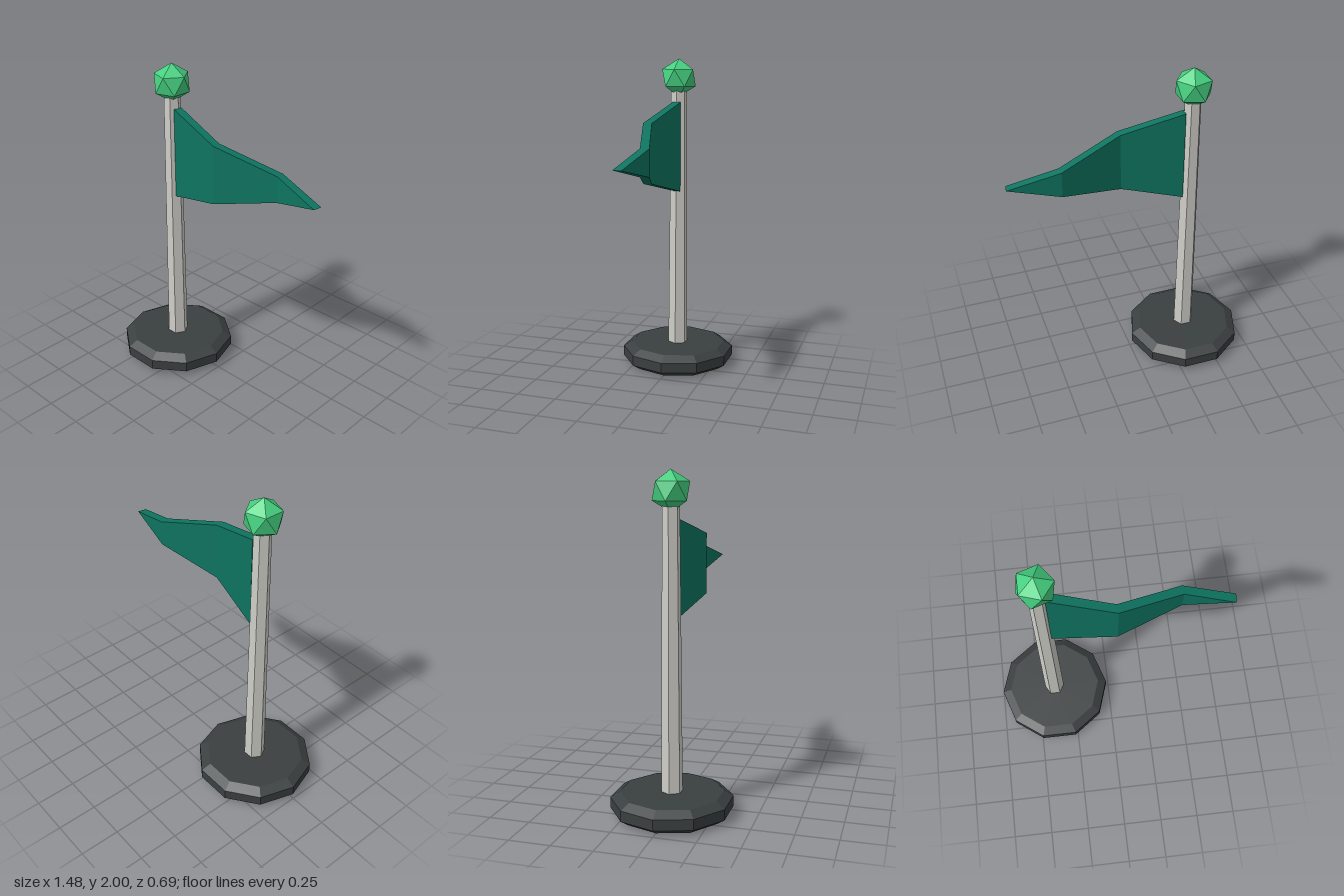
import * as THREE from 'three';

const POLE_X = -0.38;

function material(name, color) {
  const m = new THREE.MeshStandardMaterial({ color });
  m.name = name;
  m.flatShading = true;
  return m;
}

// Wavy tapering pennant: four-cornered sections along a bent centre line
function pennantGeometry() {
  const half = 0.027;
  // x, z, top y, bottom y
  const sections = [
    [-0.335, 0, 1.73, 1.16],
    [0.045, 0.066, 1.622, 1.256],
    [0.43, -0.049, 1.513, 1.353],
    [0.735, 0, 1.427, 1.427],
  ];
  const path = sections.map(([x, z]) => new THREE.Vector2(x, z));
  const rings = sections.map(([x, z, top, bottom], i) => {
    const before = path[Math.max(i - 1, 0)];
    const after = path[Math.min(i + 1, path.length - 1)];
    const dir = after.clone().sub(before).normalize();
    const nx = -dir.y * half, nz = dir.x * half;
    return [
      [x + nx, top, z + nz], [x - nx, top, z - nz],
      [x - nx, bottom, z - nz], [x + nx, bottom, z + nz],
    ];
  });
  const positions = [];
  const quad = (a, b, c, d) => positions.push(...a, ...b, ...c, ...a, ...c, ...d);
  for (let i = 0; i < rings.length - 1; i++) {
    for (let k = 0; k < 4; k++) {
      const n = (k + 1) % 4;
      quad(rings[i][k], rings[i + 1][k], rings[i + 1][n], rings[i][n]);
    }
  }
  quad(...rings[0]);
  const geometry = new THREE.BufferGeometry();
  geometry.setAttribute('position', new THREE.Float32BufferAttribute(positions, 3));
  geometry.computeVertexNormals();
  return geometry;
}

export function createModel() {
  const group = new THREE.Group();
  group.name = 'pennantOnStand';
  const add = (name, geometry, mat, x = 0, y = 0) => {
    const mesh = new THREE.Mesh(geometry, mat);
    mesh.name = name;
    mesh.position.set(x, y, 0);
    group.add(mesh);
  };

  // Ten-sided base, bevelled above and below
  const profile = [[0, 0], [0.312, 0], [0.365, 0.035], [0.365, 0.1], [0.308, 0.135], [0, 0.135]]
    .map(([r, y]) => new THREE.Vector2(r, y));
  add('base', new THREE.LatheGeometry(profile, 10, Math.PI / 2),
    material('charcoal', 0x3a3f40), POLE_X);

  // Six-sided pole, slightly tapered
  add('pole', new THREE.CylinderGeometry(0.051, 0.065, 1.72, 6, 1, false, Math.PI / 2),
    material('pale grey', 0xcfcec8), POLE_X, 0.96);

  // Faceted finial, turned to stand on one corner
  const ball = new THREE.IcosahedronGeometry(0.119, 0);
  ball.rotateZ(-Math.atan(2 / (1 + Math.sqrt(5))));
  add('finial', ball, material('bright green', 0x45d080), POLE_X, 1.881);

  add('pennant', pennantGeometry(), material('deep green', 0x0e7460));
  return group;
}
